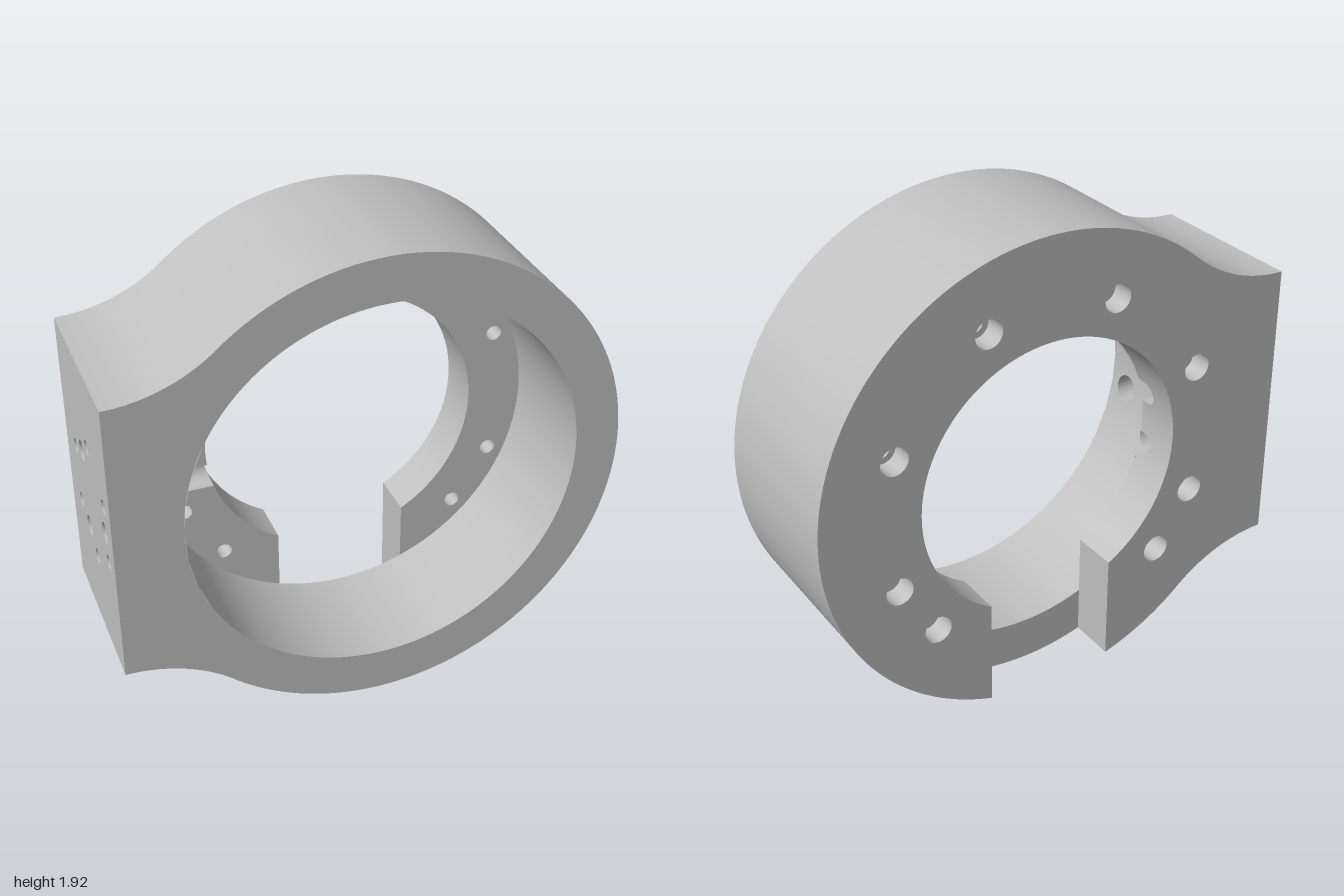
import * as THREE from 'three';

// Dimensions, relative to the ring axis
const CX = 0.04, CY = 0.965;
const R = 0.96, RB = 0.78, RF = 0.555;          // outer, front bore, flange bore
const BACK = -0.345, STEP = -0.15, FRONT = 0.345;
const LEFT = -1.04, PAD = 0.575, FILLET = 0.637;
const SLOT = 0.27;                              // half width of the bottom slot
const BOLT_R = 0.707, BOLT = 0.032, BOLT_HEAD = 0.056, BOLT_FLOOR = -0.25;
const HEX = 0.243, HEX_Z = 0.037, SCREW = 0.03, HEAD = 0.057, HEAD_X = -0.91;
const PIN = 0.042, PIN_X = -0.93;
const PI = Math.PI;

const V2 = (x, y) => new THREE.Vector2(x, y);
const V3 = (x, y, z) => new THREE.Vector3(x, y, z);

function arc(r, a, b, n = 96, cx = 0, cy = 0) {
  return Array.from({ length: n + 1 }, (_, i) => {
    const t = a + (b - a) * i / n;
    return V2(cx + r * Math.cos(t), cy + r * Math.sin(t));
  });
}
const boreX = (r, y) => -Math.sqrt(r * r - y * y);
const slotStart = r => -PI / 2 + Math.asin(SLOT / r);
const slotEnd = r => 1.5 * PI - Math.asin(SLOT / r);

// Smooth ribbon between two rows of points
function strip(a, b) {
  const pos = [], idx = [], n = a.length;
  [...a, ...b].forEach(p => pos.push(p.x, p.y, p.z));
  for (let i = 0; i < n - 1; i++) idx.push(i, i + 1, n + i, i + 1, n + i + 1, n + i);
  const g = new THREE.BufferGeometry();
  g.setAttribute('position', new THREE.Float32BufferAttribute(pos, 3));
  g.setIndex(idx);
  g.computeVertexNormals();
  return g;
}
const atZ = (pts, z) => pts.map(p => V3(p.x, p.y, z));
const wall = (pts, z0, z1) => strip(atZ(pts, z0), atZ(pts, z1));

function face(points, holes, z, towardBack) {
  const s = new THREE.Shape(points);
  holes.forEach(h => s.holes.push(new THREE.Path(h)));
  const g = new THREE.ShapeGeometry(s);
  if (towardBack) flip(g);
  return g.translate(0, 0, z);
}
function flip(g) {
  const ix = g.index.array;
  for (let i = 0; i < ix.length; i += 3) [ix[i], ix[i + 1]] = [ix[i + 1], ix[i]];
  g.computeVertexNormals();
  return g;
}
// Region between two radii, its ends given as angle functions of the radius
const sector = (r0, r1, fa, fb) => [...arc(r1, fa(r1), fb(r1)), ...arc(r0, fb(r0), fa(r0))];

export function createModel() {
  const model = new THREE.Group();
  model.name = 'ringMount';
  const body = new THREE.Group();
  body.name = 'ringBody';
  body.position.set(CX, CY, 0);
  model.add(body);
  const grey = new THREE.MeshStandardMaterial({ color: 0xbfbfbf, side: THREE.DoubleSide });
  grey.name = 'plain grey';
  const add = (name, g) => {
    const m = new THREE.Mesh(g, grey);
    m.name = name;
    body.add(m);
  };

  // Outline: round ring blending into the flat mounting pad
  const fy = PAD + FILLET, t = Math.atan2(fy, LEFT);
  const blend = arc(FILLET, Math.atan2(-fy, -LEFT), -PI / 2, 24, LEFT, fy);
  const upper = [...arc(R, slotStart(R), t, 128), ...blend.slice(1)];
  const blendLow = blend.map(p => V2(p.x, -p.y)).reverse();
  const lower = [...blendLow, ...arc(R, 2 * PI - t, slotEnd(R), 32).slice(1)];
  const bottom = arc(R, slotEnd(R), 2 * PI + slotStart(R), 32);
  add('outerWallUpper', wall(upper, BACK, FRONT));
  add('outerWallLower', wall(lower, BACK, FRONT));
  add('outerWallBottom', wall(bottom, STEP, FRONT));
  add('frontFace', face([...upper, ...lower, ...bottom.slice(1, -1)], [arc(RB, 0, 2 * PI, 160).slice(1)], FRONT));

  // Flange with bolt holes, counterbored from the back
  const bolts = [22.5, 67.5, 112.5, 157.5, 202.5, 225, -22.5, -45].map(d => {
    const a = d * PI / 180;
    return { a, x: BOLT_R * Math.cos(a), y: BOLT_R * Math.sin(a) };
  });
  const ring = (r, b) => arc(r, 0, 2 * PI, 32, b.x, b.y);
  const bore = arc(RF, slotStart(RF), slotEnd(RF), 480);
  add('backFace', face([...upper, ...lower, ...bore.slice().reverse()],
    bolts.map(b => ring(BOLT_HEAD, b).slice(1)), BACK, true));
  bolts.forEach(b => {
    add('boltHole', wall(ring(BOLT, b), STEP, BOLT_FLOOR));
    add('boltCounterbore', wall(ring(BOLT_HEAD, b), BOLT_FLOOR, BACK));
    add('boltSeat', new THREE.RingGeometry(BOLT, BOLT_HEAD, 32).rotateY(PI).translate(b.x, b.y, BOLT_FLOOR));
  });

  // Flange front face, split by the two round grooves
  const gy = HEX / 2, gz = HEX_Z - HEX * Math.cos(PI / 6);
  const gh = Math.sqrt(HEAD ** 2 - (STEP - gz) ** 2);
  const level = h => r => PI - Math.asin(h / r);
  const cuts = [slotStart, level(gy + gh), level(gy - gh), level(gh - gy), level(-gy - gh), slotEnd];
  for (let i = 0; i < 6; i += 2) {
    const inside = bolts.filter(b => b.a > cuts[i](BOLT_R) && b.a < cuts[i + 1](BOLT_R));
    add('flangeFace', face(sector(RF, RB, cuts[i], cuts[i + 1]), inside.map(b => ring(BOLT, b).slice(1)), STEP));
  }
  const grooveTop = p => {
    const d = Math.abs(Math.abs(p.y) - gy);
    return p.x < 0 && d < gh ? gz - Math.sqrt(HEAD ** 2 - d * d) : STEP;
  };
  add('flangeBore', strip(bore.map(p => V3(p.x, p.y, grooveTop(p))), atZ(bore, BACK)));

  // Bottom slot
  add('slotLedge', face(sector(RB, R, slotEnd, r => 2 * PI + slotStart(r)), [], STEP, true));
  [-1, 1].forEach(s => {
    const side = [V2(s * SLOT, boreX(R, SLOT)), V2(s * SLOT, boreX(RF, SLOT))];
    add('slotSide', s < 0 ? wall(side, BACK, STEP) : wall(side, STEP, BACK));
  });

  // Front bore, open where the screw pattern breaks through
  const patch = 0.36, pa = Math.asin(patch / RB);
  add('frontBore', wall(arc(RB, -PI + pa, PI - pa, 160), FRONT, STEP));
  const screws = Array.from({ length: 6 }, (_, i) => {
    const a = PI / 6 + i * PI / 3;
    return { z: HEX_Z + HEX * Math.cos(a), y: HEX * Math.sin(a) };
  });
  // Edge of a bore band, curving around the half circles of its row
  const edge = (y, s) => {
    const row = screws.filter(h => Math.abs(h.y - y) < 0.01).sort((a, b) => a.z - b.z);
    const pts = [];
    if (!row.length || row[0].z > STEP) pts.push(V2(STEP, y));
    else pts.push(V2(STEP, y + s * gh));
    row.forEach(h => {
      for (let i = 0; i <= 20; i++) {
        const a = PI - PI * i / 20, z = h.z + HEAD * Math.cos(a);
        if (z > STEP) pts.push(V2(z, y + s * HEAD * Math.sin(a)));
      }
    });
    pts.push(V2(FRONT, y));
    return pts;
  };
  const rows = [-patch, -HEX, -gy, 0, gy, HEX, patch];
  for (let i = 0; i < 6; i++) {
    const g = new THREE.ShapeGeometry(new THREE.Shape([...edge(rows[i], 1), ...edge(rows[i + 1], -1).reverse()]));
    const p = g.attributes.position;
    for (let k = 0; k < p.count; k++) p.setXYZ(k, boreX(RB, p.getY(k)), p.getY(k), p.getX(k));
    flip(g);
    for (let k = 0; k < p.count; k++) g.attributes.normal.setXYZ(k, -p.getX(k) / RB, -p.getY(k) / RB, 0);
    add('frontBoreBand', g);
  }

  // Mounting pad with six screw holes and three blind pin holes
  const pins = [0, 1, 2].map(i => ({
    z: HEX_Z + 0.195 * Math.cos(i * 2 * PI / 3), y: 0.195 * Math.sin(i * 2 * PI / 3),
  }));
  const loop = (r, h, a = 0, b = 2 * PI) => arc(r, a, b, 32, h.z, h.y);
  const along = (pts, x) => pts.map(p => V3(typeof x === 'function' ? x(p.y) : x, p.y, p.x));
  const pad = face([V2(BACK, -PAD), V2(FRONT, -PAD), V2(FRONT, PAD), V2(BACK, PAD)],
    [...screws.map(h => loop(SCREW, h).slice(1)), ...pins.map(h => loop(PIN, h).slice(1))], 0);
  add('mountingPad', pad.rotateY(-PI / 2).translate(LEFT, 0, 0));
  pins.forEach(h => {
    const c = loop(PIN, h);
    add('pinHole', strip(along(c, LEFT), along(c, PIN_X)));
    add('pinHoleFloor', new THREE.CircleGeometry(PIN, 32).rotateY(-PI / 2).translate(PIN_X, h.y, h.z));
  });
  screws.forEach(h => {
    const c = loop(SCREW, h);
    add('screwHole', strip(along(c, LEFT), along(c, HEAD_X)));
    add('screwSeat', new THREE.RingGeometry(SCREW, HEAD, 32).rotateY(PI / 2).translate(HEAD_X, h.y, h.z));
    // Counterbores level with the flange run on across it as grooves
    const open = h.z < STEP ? Math.acos((STEP - h.z) / HEAD) : PI;
    const near = loop(HEAD, h, -open, open);
    add('screwCounterbore', strip(along(near, HEAD_X), along(near, y => boreX(RB, y))));
    if (open < PI) {
      const far = loop(HEAD, h, open, 2 * PI - open);
      add('flangeGroove', strip(along(far, HEAD_X), along(far, y => boreX(RF, y))));
    }
  });
  return model;
}
